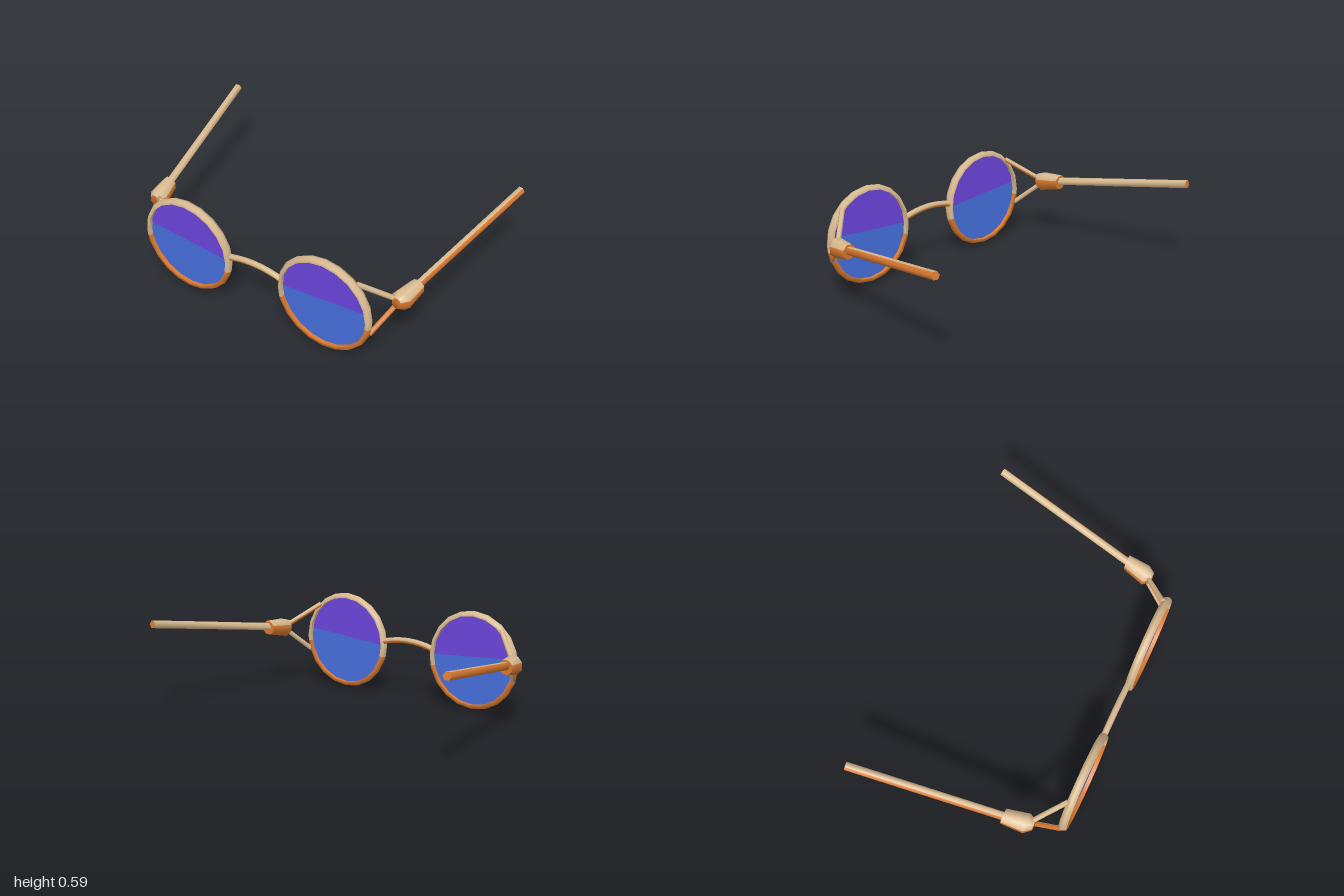
import * as THREE from 'three';
import { toCreasedNormals } from 'three/addons/utils/BufferGeometryUtils.js';

const V = (x, y, z) => new THREE.Vector3(x, y, z);
const rad = THREE.MathUtils.degToRad;

function material(name, color, side = THREE.FrontSide) {
  const m = new THREE.MeshStandardMaterial({ color, side });
  m.name = name;
  return m;
}

// Skins closed cross-sections; faces[j] picks the material of side j, s = -1 mirrors in x
function loft(name, sections, faces, mats, s = 1, cap = -1) {
  const pos = [];
  const geo = new THREE.BufferGeometry();
  const tri = (a, b, c) => {
    for (const p of s > 0 ? [a, b, c] : [a, c, b]) pos.push(s * p.x, p.y, p.z);
  };
  const n = faces.length;
  for (let j = 0; j < n; j++) {
    const start = pos.length / 3, k = (j + 1) % n;
    for (let i = 0; i + 1 < sections.length; i++) {
      const A = sections[i], B = sections[i + 1];
      tri(A[j], A[k], B[k]);
      tri(A[j], B[k], B[j]);
    }
    geo.addGroup(start, pos.length / 3 - start, faces[j]);
  }
  if (cap >= 0) {
    const start = pos.length / 3, A = sections[0], B = sections[sections.length - 1];
    for (let j = 1; j + 1 < n; j++) {
      tri(A[0], A[j + 1], A[j]);
      tri(B[0], B[j], B[j + 1]);
    }
    geo.addGroup(start, pos.length / 3 - start, cap);
  }
  geo.setAttribute('position', new THREE.Float32BufferAttribute(pos, 3));
  // Sides blend smoothly, end caps stay sharp
  const mesh = new THREE.Mesh(toCreasedNormals(geo, 1.2), mats);
  mesh.name = name;
  return mesh;
}

// Six-sided sections along a path; side 0 faces up, side 1 and 2 outwards
function hexPath(points, r) {
  return points.map((p, i) => {
    const t = points[Math.min(i + 1, points.length - 1)].clone()
      .sub(points[Math.max(i - 1, 0)]).normalize();
    const out = t.clone().cross(V(0, 1, 0)).normalize();
    const up = out.clone().cross(t);
    return Array.from({ length: 6 }, (_, j) => {
      const a = (j - 0.5) * Math.PI / 3;
      return p.clone().addScaledVector(out, r * Math.sin(a)).addScaledVector(up, r * Math.cos(a));
    });
  });
}

export function createModel() {
  const model = new THREE.Group();
  model.name = 'spectacles';
  const tan = material('tan metal', 0xdabb90);
  const copper = material('copper metal', 0xda792f);
  const purple = material('purple glass', 0x6c45dc, THREE.DoubleSide);
  const blue = material('blue glass', 0x466fdc, THREE.DoubleSide);
  const metals = [tan, copper];

  // Rim profile as radius and depth, swept in steps of 18 degrees
  const rimProfile = [[0.266, 0.023], [0.283, 0.023], [0.294, 0], [0.283, -0.023], [0.266, -0.023]];
  const rimArc = (from, to) => {
    const angles = [from];
    for (let a = Math.floor(from / 18 + 1) * 18; a < to; a += 18) angles.push(a);
    return [...angles, to].map((d) => rimProfile.map(([r, z]) =>
      V(r * Math.cos(rad(d)), r * Math.sin(rad(d)), z)));
  };

  // Part of a lens between two angles, closed by a chord
  const lensPart = (name, from, to, mat, s) => {
    const pts = Array.from({ length: 21 }, (_, i) => {
      const a = rad(from + (to - from) * i / 20);
      return new THREE.Vector2(s * 0.272 * Math.cos(a), 0.272 * Math.sin(a));
    });
    const mesh = new THREE.Mesh(new THREE.ShapeGeometry(new THREE.Shape(pts)), mat);
    mesh.name = name;
    return mesh;
  };

  for (const s of [1, -1]) {
    const side = s > 0 ? 'left' : 'right';

    // Round rim and two-tone lens, leaning slightly forward
    const eye = new THREE.Group();
    eye.name = side + 'Eyepiece';
    eye.position.set(s * 0.45, 0.303, 0.573);
    eye.rotation.x = 0.017;
    eye.add(
      loft('upperRim', rimArc(-8, 194), [0, 0, 0, 0, 0], metals, s),
      loft('lowerRim', rimArc(194, 352), [1, 1, 1, 1, 1], metals, s),
      lensPart('upperLens', 9, 180, purple, s),
      lensPart('lowerLens', 180, 369, blue, s));
    model.add(eye);

    // Two struts from the rim to the hinge
    model.add(
      loft(side + 'UpperStrut', hexPath([V(0.64, 0.51, 0.56), V(0.795, 0.38, 0.41)], 0.015),
        [0, 0, 0, 1, 1, 0], metals, s, 0),
      loft(side + 'LowerStrut', hexPath([V(0.722, 0.212, 0.56), V(0.797, 0.355, 0.40)], 0.015),
        [1, 1, 1, 0, 0, 0], metals, s, 1));

    // Swollen eight-sided hinge: x, y, z, half width, half height
    const hinge = [
      [0.805, 0.375, 0.437, 0.027, 0.032],
      [0.809, 0.367, 0.395, 0.054, 0.053],
      [0.829, 0.385, 0.267, 0.041, 0.041],
    ].map(([x, y, z, w, h]) => Array.from({ length: 8 }, (_, j) => {
      const a = (j - 0.5) * Math.PI / 4, k = 1 / Math.cos(Math.PI / 8);
      return V(x + w * k * Math.sin(a), y + h * k * Math.cos(a), z);
    }));
    model.add(loft(side + 'Hinge', hinge, [0, 0, 1, 1, 1, 1, 1, 0], metals, s, 1));

    // Temple arm, rising and spreading to the back
    model.add(loft(side + 'Temple', hexPath([V(0.826, 0.387, 0.30), V(0.976, 0.55, -0.596)], 0.024),
      [0, 1, 1, 1, 0, 0], metals, s, 1));
  }

  // Arched bridge
  const arch = Array.from({ length: 9 }, (_, i) => {
    const u = i / 4 - 1;
    return V(u * 0.18, 0.358 - 0.028 * u * u, 0.569);
  });
  model.add(loft('bridge', hexPath(arch, 0.018), [0, 0, 1, 1, 1, 0], metals, 1, 0));

  return model;
}
